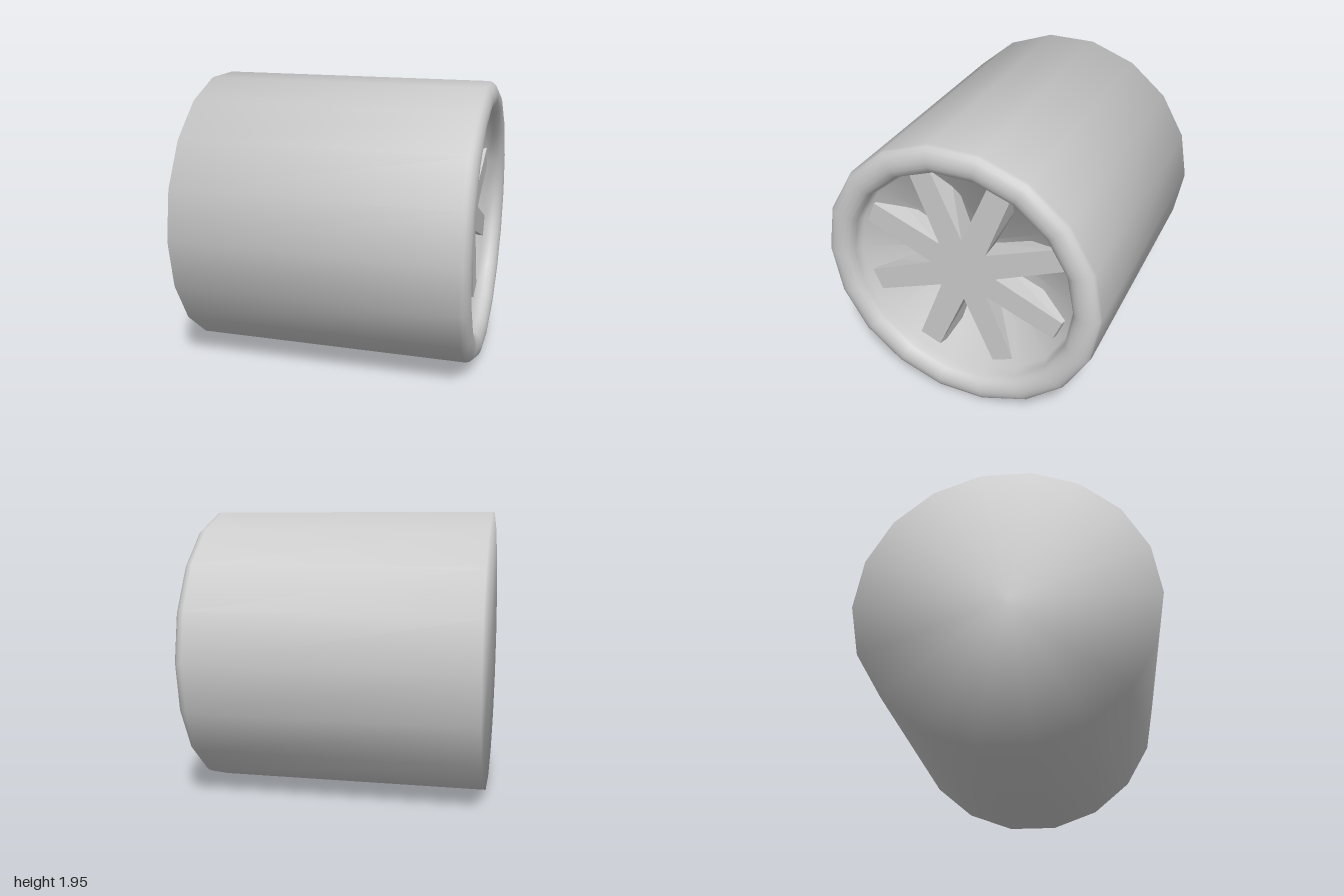
import * as THREE from 'three';

const SIDES = 18;
const AXIS_Y = 0.975;

// Closed barrel with a rounded lip and a conical recess, turned around x
function makeBarrel(material) {
  const profile = [new THREE.Vector2(0, -1), new THREE.Vector2(0.99, -1)];
  const steps = 8;
  for (let i = 0; i <= steps; i++) {
    const a = (i / steps) * Math.PI;
    profile.push(new THREE.Vector2(0.895 + 0.095 * Math.cos(a), 0.93 + 0.07 * Math.sin(a)));
  }
  profile.push(new THREE.Vector2(0.78, 0.87), new THREE.Vector2(0, 0.42));
  const geometry = new THREE.LatheGeometry(profile, SIDES);
  geometry.rotateZ(-Math.PI / 2);
  const mesh = new THREE.Mesh(geometry, material);
  mesh.name = 'barrel';
  mesh.position.y = AXIS_Y;
  return mesh;
}

// Eight-armed star set into the recess, its arms leaning a little at the back
function makeStar(material) {
  const shape = new THREE.Shape();
  const arms = 8, notch = 0.235, reach = 0.73, half = 0.08;
  for (let i = 0; i < arms; i++) {
    const a = ((i + 0.5) / arms) * Math.PI * 2;
    const c = Math.cos(a), s = Math.sin(a);
    const start = a - Math.PI / arms;
    const nx = notch * Math.cos(start), ny = notch * Math.sin(start);
    if (i === 0) shape.moveTo(nx, ny);
    else shape.lineTo(nx, ny);
    shape.lineTo(reach * c + half * s, reach * s - half * c);
    shape.lineTo(reach * c - half * s, reach * s + half * c);
  }
  shape.closePath();

  const geometry = new THREE.ExtrudeGeometry(shape, { depth: 0.16, bevelEnabled: false });
  const p = geometry.attributes.position;
  for (let i = 0; i < p.count; i++) {
    if (p.getZ(i) < 0.01) {
      const r = Math.hypot(p.getX(i), p.getY(i));
      p.setX(i, p.getX(i) + 0.05 * Math.max(0, r - notch) / (reach - notch));
    }
  }
  geometry.computeVertexNormals();
  geometry.rotateY(Math.PI / 2);
  const mesh = new THREE.Mesh(geometry, material);
  mesh.name = 'starSpokes';
  mesh.position.set(0.72, 1.02, 0);
  return mesh;
}

export function createModel() {
  const group = new THREE.Group();
  group.name = 'barrelWithStar';
  const material = new THREE.MeshStandardMaterial({ color: 0xcccccc });
  group.add(makeBarrel(material), makeStar(material));
  return group;
}
